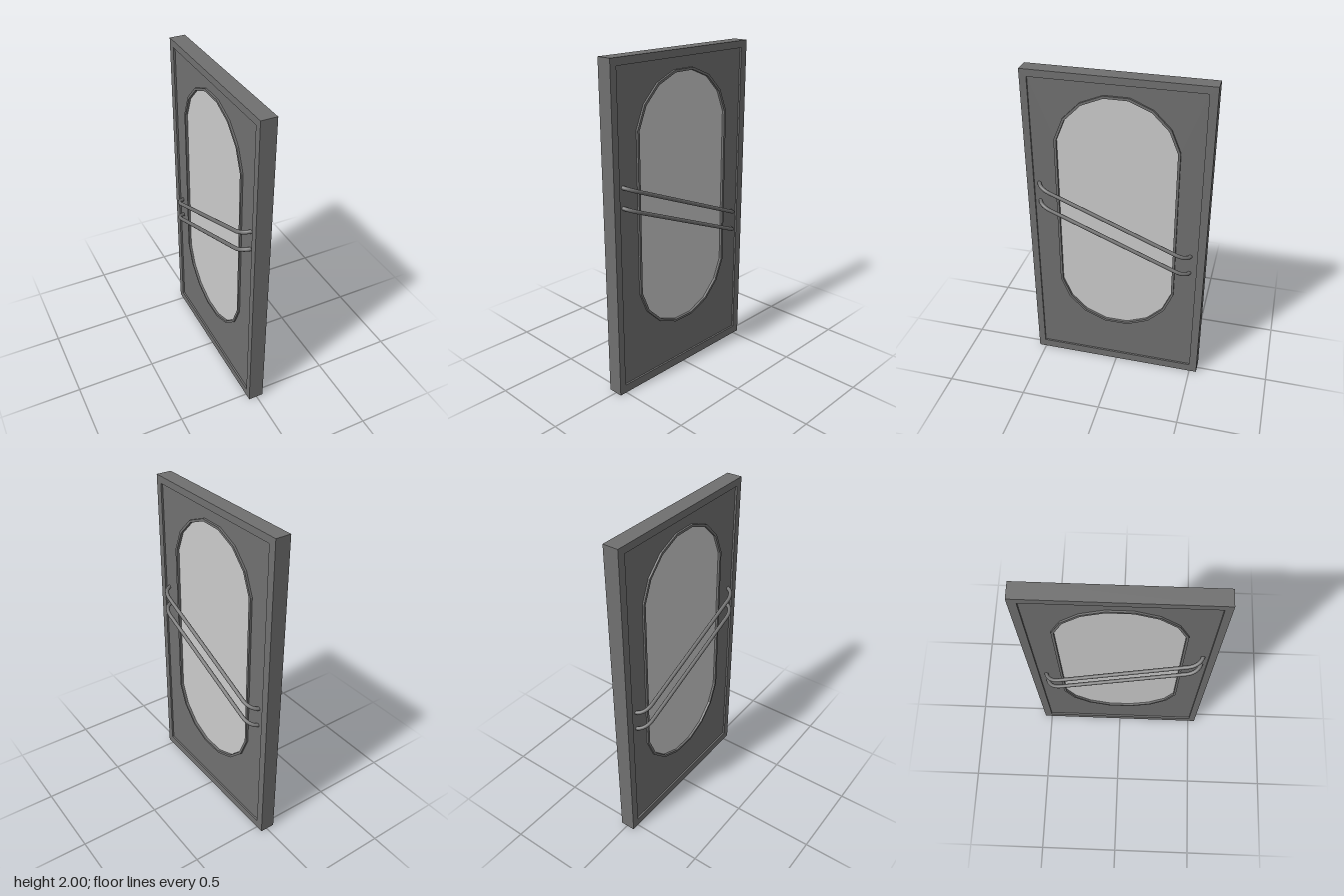
import * as THREE from 'three';

const darkGrey = new THREE.MeshStandardMaterial({ color: 0x707070 });
const paleGrey = new THREE.MeshStandardMaterial({ color: 0xcccccc });

const MID_X = -0.005; // centre plane of the door leaf

function rect(PathType, x0, x1, y0, y1) {
  return new PathType([[x0, y0], [x1, y0], [x1, y1], [x0, y1]].map(([x, y]) => new THREE.Vector2(x, y)));
}

// Faceted stadium: two halves of a sixteen-sided polygon joined by straight sides
function stadium(PathType, r) {
  const points = [];
  for (let i = 0; i < 16; i++) {
    const a = (i + 0.5) * Math.PI / 8;
    points.push(new THREE.Vector2(r * Math.cos(a), (i < 8 ? 1.523 : 0.683) + r * Math.sin(a)));
  }
  return new PathType(points);
}

// Extrudes an outline through the door's thickness, from x0 to x1
function slab(name, shape, x0, x1, material) {
  const geometry = new THREE.ExtrudeGeometry(shape, { depth: x1 - x0, bevelEnabled: false });
  geometry.rotateY(Math.PI / 2);
  geometry.translate(x0, 0, 0);
  const mesh = new THREE.Mesh(geometry, material);
  mesh.name = name;
  return mesh;
}

// Slanted pull bar whose ends curve back into the door; side is +1 or -1
function pullBar(side, yShift) {
  const at = (out, z) => new THREE.Vector3(
    MID_X + side * out, 1.295 - (0.475 - z) * 0.407 + yShift, z);
  const path = new THREE.CurvePath();
  path.add(new THREE.CubicBezierCurve3(at(0.033, 0.473), at(0.066, 0.465), at(0.089, 0.435), at(0.089, 0.39)));
  path.add(new THREE.LineCurve3(at(0.089, 0.39), at(0.089, -0.373)));
  path.add(new THREE.CubicBezierCurve3(at(0.089, -0.373), at(0.089, -0.418), at(0.066, -0.448), at(0.033, -0.456)));
  const bar = new THREE.Mesh(new THREE.TubeGeometry(path, 80, 0.0118, 12), darkGrey);
  bar.name = 'pullBar';
  return bar;
}

export function createModel() {
  const door = new THREE.Group();
  door.name = 'door';

  // Outer border around the recessed panel
  const border = rect(THREE.Shape, -0.546, 0.546, 0, 2);
  border.holes.push(rect(THREE.Path, -0.504, 0.498, 0.053, 1.957));
  door.add(slab('outerFrame', border, MID_X - 0.0475, MID_X + 0.0475, darkGrey));

  // Recessed panel with the window opening
  const panel = rect(THREE.Shape, -0.504, 0.498, 0.053, 1.957);
  panel.holes.push(stadium(THREE.Path, 0.368));
  door.add(slab('panel', panel, MID_X - 0.036, MID_X + 0.036, darkGrey));

  // Window rim and pane
  const rim = stadium(THREE.Shape, 0.373);
  rim.holes.push(stadium(THREE.Path, 0.358));
  door.add(slab('windowRim', rim, MID_X - 0.047, MID_X + 0.049, darkGrey));
  door.add(slab('windowPane', stadium(THREE.Shape, 0.362), MID_X - 0.033, MID_X + 0.033, paleGrey));

  // A pair of pull bars on each face
  for (const side of [1, -1]) {
    const handle = new THREE.Group();
    handle.name = side > 0 ? 'leftHandle' : 'rightHandle';
    for (const yShift of [0, -0.12]) handle.add(pullBar(side, yShift));
    door.add(handle);
  }
  return door;
}
